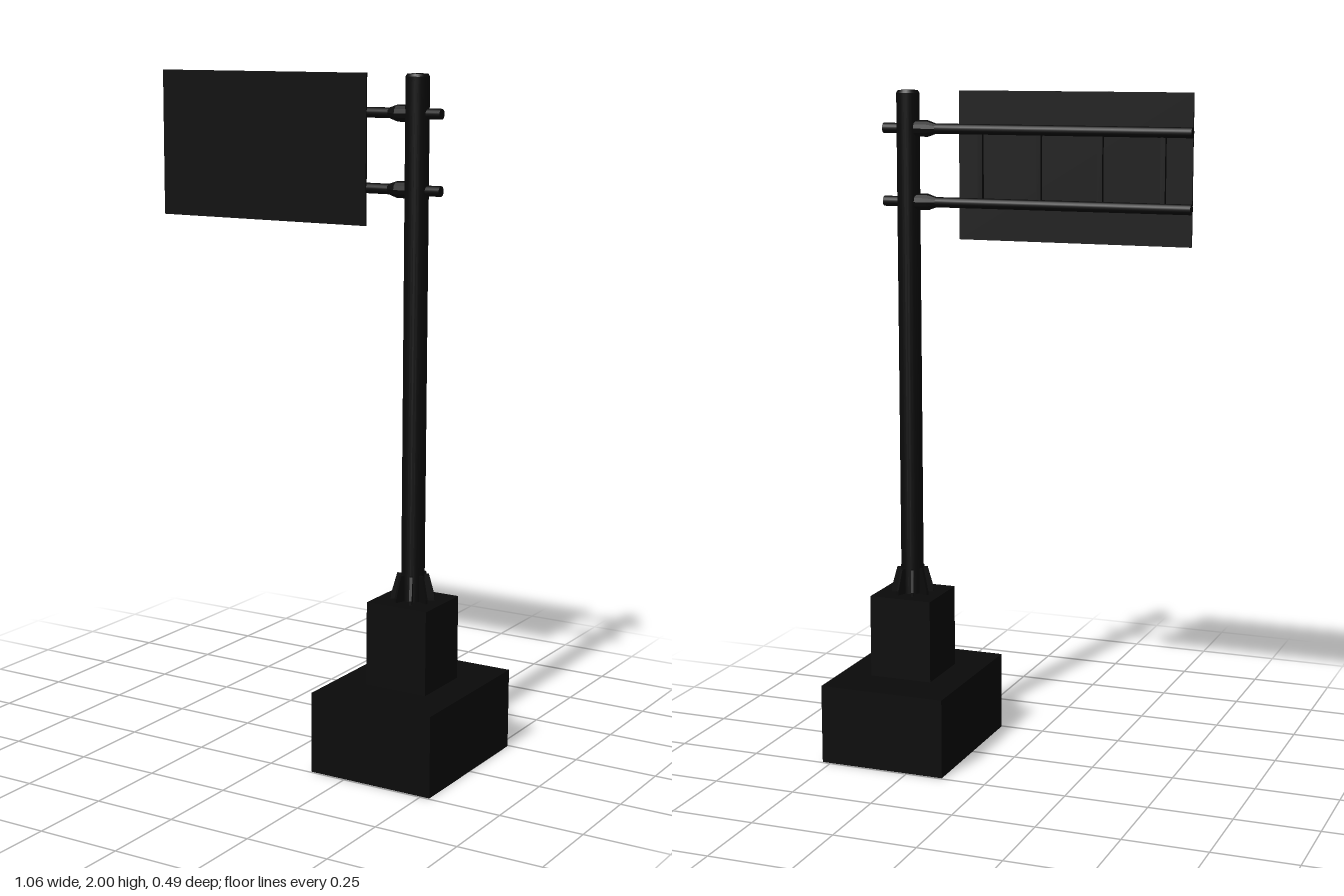
import * as THREE from 'three';

export function createModel() {
  const model = new THREE.Group();
  const mat = new THREE.MeshStandardMaterial({ color: 0x0a0a0a });
  const flat = mat.clone();
  flat.flatShading = true;
  const poleX = 0.332;

  const add = (name, geometry, x, y, z, material = mat, parent = model) => {
    const mesh = new THREE.Mesh(geometry, material);
    mesh.name = name;
    mesh.position.set(x, y, z);
    parent.add(mesh);
    return mesh;
  };
  const box = (name, w, h, d, x, y, z) => add(name, new THREE.BoxGeometry(w, h, d), x, y, z);

  // Stepped foundation
  box('foundation', 0.39, 0.24, 0.49, poleX, 0.12, 0);
  box('pedestal', 0.195, 0.25, 0.196, poleX, 0.365, 0);

  // Pole with a slightly bevelled cap
  add('pole', new THREE.CylinderGeometry(0.034, 0.034, 1.502, 24), poleX, 1.241, 0);
  add('poleCap', new THREE.CylinderGeometry(0.029, 0.034, 0.008, 24), poleX, 1.996, 0);

  // Triangular stiffeners around the foot of the pole
  const profile = new THREE.Shape([
    [0.025, 0], [0.064, 0], [0.064, 0.012], [0.046, 0.078], [0.025, 0.078],
  ].map(([x, y]) => new THREE.Vector2(x, y)));
  const gusset = new THREE.ExtrudeGeometry(profile, { depth: 0.008, bevelEnabled: false });
  gusset.translate(0, 0, -0.004);
  for (let i = 0; i < 8; i++) {
    add('gusset', gusset, poleX, 0.49, 0).rotation.y = (i + 0.5) * Math.PI / 4;
  }

  // Horizontal arms with tapered clamps against the pole
  const clampProfile = [
    [0, 0.242], [0.015, 0.242], [0.024, 0.268], [0.024, 0.305], [0, 0.305],
  ].map(([r, x]) => new THREE.Vector2(r, x));
  for (const y of [1.89, 1.677]) {
    const arm = new THREE.Group();
    arm.name = 'arm';
    arm.position.y = y;
    model.add(arm);
    const tube = new THREE.CylinderGeometry(0.015, 0.015, 0.938, 16);
    add('armTube', tube, -0.061, 0, -0.003, mat, arm).rotation.z = Math.PI / 2;
    const clamp = new THREE.LatheGeometry(clampProfile, 12);
    add('clamp', clamp, 0, 0, -0.003, flat, arm).rotation.z = -Math.PI / 2;
  }

  // Sign panel with upright ribs behind it
  box('signPanel', 0.703, 0.43, 0.006, -0.177, 1.785, 0.011);
  for (const x of [0.105, -0.075, -0.26, -0.445]) {
    box('panelRib', 0.014, 0.205, 0.014, x, 1.7835, 0.002);
  }

  return model;
}
